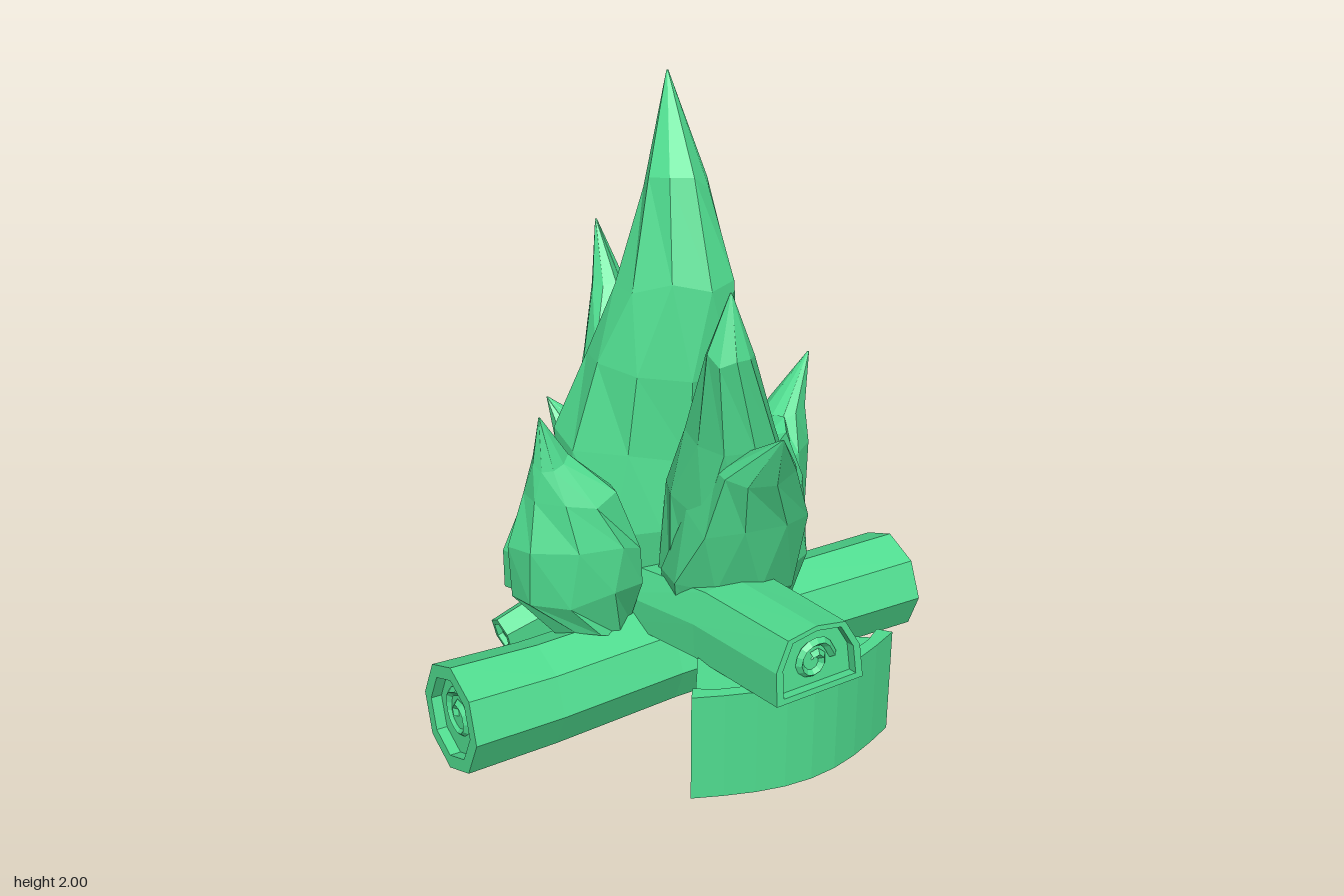
import * as THREE from 'three';

const material = new THREE.MeshStandardMaterial({ color: 0x4fdc8f, flatShading: true, side: THREE.DoubleSide });
const V = (x, y, z) => new THREE.Vector3(x, y, z);

// small seeded generator for hand-cut irregularity
let seed = 7;
const rand = () => (seed = (seed * 16807) % 2147483647) / 2147483647;

// closed skin through rings of equal point count, wound outwards
function loft(rings) {
  const tris = [];
  const n = rings[0].length;
  for (let k = 0; k < rings.length - 1; k++) {
    for (let i = 0; i < n; i++) {
      const j = (i + 1) % n;
      const [a, b, c, d] = [rings[k][i], rings[k][j], rings[k + 1][j], rings[k + 1][i]];
      tris.push([a, b, c], [a, c, d]);
    }
  }
  const cap = (ring, flip) => {
    const mid = ring.reduce((s, p) => s.add(p), V(0, 0, 0)).divideScalar(n);
    ring.forEach((p, i) => {
      const q = ring[(i + 1) % n];
      tris.push(flip ? [mid, q, p] : [mid, p, q]);
    });
  };
  cap(rings[0], true);
  cap(rings[rings.length - 1], false);
  const volume = tris.reduce((s, [a, b, c]) => s + a.dot(b.clone().cross(c)), 0);
  const points = tris.flatMap((t) => (volume < 0 ? [t[0], t[2], t[1]] : t));
  const geometry = new THREE.BufferGeometry().setFromPoints(points);
  geometry.computeVertexNormals();
  return geometry;
}

function add(parent, name, geometry) {
  const mesh = new THREE.Mesh(geometry, material);
  mesh.name = name;
  parent.add(mesh);
}

// regular polygon ring around a centre, facing along dir
function ring(center, dir, radius, n) {
  const u = V(0, 1, 0).addScaledVector(dir, -dir.y).normalize();
  const w = dir.clone().cross(u);
  return Array.from({ length: n }, (_, i) => {
    const a = (i / n) * Math.PI * 2;
    return center.clone().addScaledVector(u, Math.cos(a) * radius).addScaledVector(w, Math.sin(a) * radius);
  });
}

// adds a sunken face with a rim to both ends of a ring list
function sunken(rings, depth, inner) {
  const end = (r, next) => {
    const c = r.reduce((s, p) => s.add(p), V(0, 0, 0)).divideScalar(r.length);
    const c2 = next.reduce((s, p) => s.add(p), V(0, 0, 0)).divideScalar(r.length);
    const inward = c2.sub(c).normalize().multiplyScalar(depth);
    const rim = r.map((p) => p.clone().lerp(c, 1 - inner));
    return [rim.map((p) => p.clone().add(inward)), rim];
  };
  const last = rings.length - 1;
  return [...end(rings[0], rings[1]), ...rings, ...end(rings[last], rings[last - 1]).reverse()];
}

// angular growth spiral standing on a log end
function spiral(center, u, w, radius) {
  const pts = Array.from({ length: 9 }, (_, i) => {
    const a = i * 1.05, r = radius * (1 - i / 11);
    return center.clone().addScaledVector(u, Math.cos(a) * r).addScaledVector(w, Math.sin(a) * r);
  });
  return new THREE.TubeGeometry(new THREE.CatmullRomCurve3(pts), 16, 0.014, 4);
}

// tapering stub of a sawn-off branch
function stub(from, to, r0, r1) {
  const dir = to.clone().sub(from).normalize();
  return loft(sunken([ring(from, dir, r0, 6), ring(from.clone().lerp(to, 0.6), dir, r1 * 1.15, 6), ring(to, dir, r1, 6)], 0.02, 0.7));
}

// flame tongue: sections of [y, x, z, radiusX, radiusZ, shear], where shear slants the section in z along x
function tongue(sections, n = 9) {
  const twist = rand() * 2;
  return loft(sections.map(([y, x, z, rx, rz, shear = 0], k) =>
    Array.from({ length: n }, (_, i) => {
      const a = ((i + (k % 2) * 0.3) / n) * Math.PI * 2 + twist;
      const f = 0.96 + rand() * 0.12;
      const lift = rx > 0.01 ? (rand() - 0.5) * 0.06 : 0;
      const dx = Math.cos(a) * rx * f;
      return V(x + dx, y + lift, z + Math.sin(a) * rz * f + shear * dx);
    })));
}

export function createModel() {
  const model = new THREE.Group();
  model.name = 'campfire';

  // log lying from side to side, slightly bent
  const cross = new THREE.Group();
  cross.name = 'crossLog';
  model.add(cross);
  const path = [[-0.855, 0.195, 0.112, 0.176], [-0.55, 0.176, 0.1, 0.17], [-0.1, 0.172, 0.08, 0.168], [0.3, 0.172, 0.084, 0.17], [0.858, 0.176, 0.112, 0.175]];
  const tilts = [V(1, -0.06, -0.03), V(1, -0.03, -0.04), V(1, 0, 0), V(1, 0, 0.03), V(1, 0.02, 0.03)];
  add(cross, 'crossLogBody', loft(sunken(path.map(([x, y, z, r], i) => ring(V(x, y, z), tilts[i].normalize(), r, 8)), 0.035, 0.75)));
  add(cross, 'crossLogSpiralRight', spiral(V(0.825, 0.176, 0.11), V(0, 1, 0), V(0, 0, 1), 0.085));
  add(cross, 'crossLogSpiralLeft', spiral(V(-0.82, 0.195, 0.11), V(0, 1, 0), V(0, 0, -1), 0.085));
  add(cross, 'crossLogStub', stub(V(0.51, 0.21, -0.02), V(0.545, 0.3, -0.175), 0.11, 0.06));

  // flat-bottomed split log from front to back, resting on the cross log
  const split = new THREE.Group();
  split.name = 'splitLog';
  model.add(split);
  const half = [[1, 0], [0.97, 0.5], [0.66, 0.92], [0, 1], [-0.66, 0.92], [-0.97, 0.5], [-1, 0]];
  const spans = [[0.815, 0.155, 0.395, 0.6], [0.4, 0.168, 0.345, 0.558], [0, 0.195, 0.28, 0.47], [-0.35, 0.21, 0.16, 0.385], [-0.82, 0.224, 0.02, 0.31]];
  const splitRings = spans.map(([z, w, y0, y1]) =>
    half.map(([x, h]) => V(x * w, y0 + (y1 - y0) * h, z - (h - 0.5) * 0.03)));
  add(split, 'splitLogBody', loft(sunken(splitRings, 0.03, 0.84)));
  add(split, 'splitLogSpiral', spiral(V(0, 0.48, 0.79), V(1, 0, 0), V(0, 1, 0), 0.07));
  add(split, 'splitLogStub', stub(V(-0.12, 0.17, -0.39), V(-0.44, 0.095, -0.385), 0.14, 0.068));

  // upright wedge of firewood with a curved bark skin
  const wedge = new THREE.Group();
  wedge.name = 'woodWedge';
  model.add(wedge);
  const prism = (pts, height) => {
    const shape = new THREE.Shape(pts.map(([x, z]) => new THREE.Vector2(x, -z)));
    return new THREE.ExtrudeGeometry(shape, { depth: height, bevelEnabled: false })
      .rotateX(-Math.PI / 2).translate(0, 0.02, 0);
  };
  const arc = (inset) => Array.from({ length: 9 }, (_, i) => {
    const t = i / 8;
    return [-0.32 + 0.73 * t, 0.635 + 0.025 * t + 0.1 * Math.sin(Math.PI * t) - inset];
  });
  add(wedge, 'wedgeCore', prism([[0, 0.27], [-0.15, 0.41], [-0.29, 0.61], ...arc(0.02).slice(1, 8),
    [0.36, 0.63], [0.22, 0.52], [0.26, 0.49], [0.2, 0.36], [0.08, 0.27]], 0.335));
  const inner = arc(0.04).reverse();
  inner[0][0] -= 0.03;
  inner[8][0] += 0.03;
  add(wedge, 'wedgeBark', prism([...arc(0), ...inner], 0.355));

  // flame tongues
  const fire = new THREE.Group();
  fire.name = 'fire';
  model.add(fire);
  const flames = {
    mainFlame: [[0.3, -0.06, -0.09, 0.14, 0.14], [0.58, -0.07, -0.12, 0.21, 0.2, 0.2], [0.86, -0.03, -0.13, 0.26, 0.21, 0.3],
      [1.12, 0.025, -0.07, 0.225, 0.18, 0.3], [1.4, 0.06, -0.05, 0.165, 0.15, 0.3], [1.7, 0.09, -0.1, 0.095, 0.1, 0.15], [2, 0.15, -0.25, 0.003, 0.003]],
    frontFlame: [[0.33, 0.06, 0.17, 0.17, 0.16], [0.5, 0.07, 0.25, 0.21, 0.18], [0.75, 0.07, 0.34, 0.2, 0.16],
      [0.94, 0.03, 0.45, 0.13, 0.1], [1.11, 0, 0.61, 0.003, 0.003]],
    frontTallFlame: [[0.4, 0.06, 0.17, 0.18, 0.16], [0.78, 0.07, 0.24, 0.2, 0.2], [1.03, 0.02, 0.33, 0.14, 0.14],
      [1.3, -0.05, 0.41, 0.07, 0.065], [1.5, -0.05, 0.41, 0.003, 0.003]],
    frontRightFlame: [[0.32, 0.15, 0.18, 0.17, 0.14], [0.52, 0.2, 0.22, 0.18, 0.15], [0.76, 0.23, 0.22, 0.15, 0.14, -0.4],
      [0.9, 0.24, 0.19, 0.12, 0.07, -0.6]],
    rightFlame: [[0.32, 0.18, 0.11, 0.19, 0.16], [0.55, 0.26, 0.1, 0.2, 0.17, -0.2], [0.8, 0.36, 0.08, 0.16, 0.12, -0.4],
      [0.93, 0.42, 0.05, 0.09, 0.07, -0.4], [1.08, 0.53, 0.02, 0.003, 0.003]],
    leftFlame: [[0.32, -0.31, 0.03, 0.12, 0.11], [0.46, -0.35, 0.02, 0.19, 0.13, 0.25], [0.62, -0.36, 0.01, 0.2, 0.14, 0.3],
      [0.79, -0.37, 0.01, 0.13, 0.11, 0.3], [0.92, -0.43, 0, 0.055, 0.05], [1.06, -0.46, 0, 0.003, 0.003]],
    backFlame: [[0.29, 0.1, -0.26, 0.18, 0.15], [0.5, 0.11, -0.32, 0.22, 0.19], [0.8, 0.1, -0.4, 0.2, 0.17],
      [1.0, 0.11, -0.51, 0.13, 0.11], [1.2, 0.14, -0.61, 0.065, 0.06], [1.41, 0.15, -0.72, 0.003, 0.003]],
    backInnerFlame: [[0.4, 0.12, -0.2, 0.18, 0.14], [0.82, 0.11, -0.25, 0.19, 0.16], [1.07, 0.13, -0.37, 0.1, 0.09],
      [1.31, 0.15, -0.42, 0.003, 0.003]],
    backLeftFlame: [[0.3, -0.01, -0.24, 0.13, 0.12], [0.5, -0.04, -0.28, 0.16, 0.14], [0.75, -0.09, -0.32, 0.13, 0.1],
      [0.93, -0.22, -0.41, 0.003, 0.003]],
  };
  for (const [name, sections] of Object.entries(flames)) add(fire, name, tongue(sections));

  return model;
}
